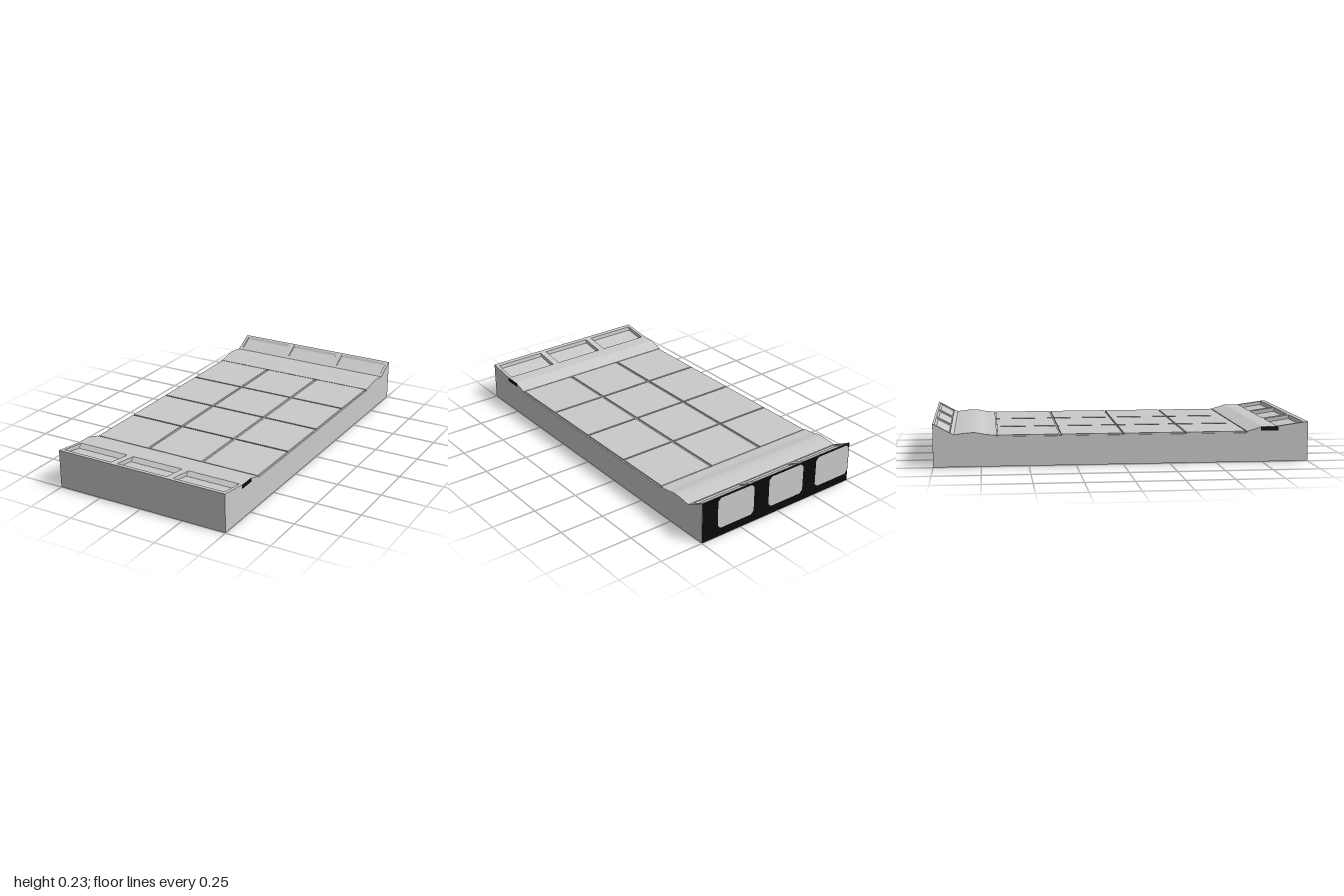
import * as THREE from 'three';

export function createModel() {
  const model = new THREE.Group();
  const grey = new THREE.MeshStandardMaterial({ name: 'lightGrey', color: 0xcacaca });
  const black = new THREE.MeshStandardMaterial({ name: 'black', color: 0x0a0a0a });

  const add = (name, geometry, material) => {
    const mesh = new THREE.Mesh(geometry, material);
    mesh.name = name;
    model.add(mesh);
    return mesh;
  };
  // Side profile of [z, y] points, swept from x0 to x1
  const sweep = (points, x0, x1) => {
    const shape = new THREE.Shape(points.map(([z, y]) => new THREE.Vector2(z, y)));
    return new THREE.ExtrudeGeometry(shape, { depth: x1 - x0, bevelEnabled: false })
      .rotateY(-Math.PI / 2).translate(x1, 0, 0);
  };

  // Recess outlines at the two ends, from the rear to the front
  const rearRecess = [[-0.99, 0.2245], [-0.981, 0.211], [-0.915, 0.175], [-0.909, 0.18]];
  const frontRecess = [[0.832, 0.19], [0.857, 0.171], [0.972, 0.188], [0.975, 0.21]];
  // Smooth swell between the deck and the rear panels
  const swell = new THREE.SplineCurve([[-0.89, 0.17], [-0.84, 0.177], [-0.78, 0.18],
    [-0.725, 0.17], [-0.667, 0.165]].map(([z, y]) => new THREE.Vector2(z, y)))
    .getPoints(16).map((p) => [p.x, p.y]);

  // Main slab, with the deck sunk below its tiles
  const deckY = 0.157, tileY = 0.165;
  add('slab', sweep([
    [-1, 0], [-1, 0.23], ...rearRecess, ...swell,
    [-0.667, deckY], [0.667, deckY], [0.667, tileY],
    [0.75, 0.189], ...frontRecess, [1, 0.213], [1, 0],
  ], -0.5, 0.5), grey);

  // Ribs that divide each end into three sunken panels
  for (const [x0, x1] of [[-0.5, -0.482], [-0.187, -0.149], [0.149, 0.187], [0.482, 0.5]]) {
    add('rearRib', sweep(rearRecess, x0, x1), grey);
    add('frontRib', sweep(frontRecess, x0, x1), grey);
  }

  // Deck tiles: three columns by four rows
  for (let column = -1; column <= 1; column++) {
    for (let row = 0; row < 4; row++) {
      const tile = add('deckTile', new THREE.BoxGeometry(1 / 3 - 0.015, 0.02, 1 / 3 - 0.009), grey);
      tile.position.set(column / 3, tileY - 0.01, (row - 1.5) / 3);
    }
  }

  // Black painted sheet with three chamfered openings
  const openings = [[-0.4, -0.165], [-0.065, 0.17], [0.26, 0.498]];
  const sheet = (low, high, holeLow, holeHigh, mirror) => {
    const shape = new THREE.Shape([[-0.5, low], [0.5, low], [0.5, high], [-0.5, high]]
      .map(([x, y]) => new THREE.Vector2(x, y)));
    const c = 0.018;
    for (const [a, b] of openings) {
      const [l, r] = mirror ? [-b, -a] : [a, b];
      shape.holes.push(new THREE.Path([
        [l + c, holeLow], [r - c, holeLow], [r, holeLow + c], [r, holeHigh - c],
        [r - c, holeHigh], [l + c, holeHigh], [l, holeHigh - c], [l, holeLow + c],
      ].map(([x, y]) => new THREE.Vector2(x, y))));
    }
    return new THREE.ShapeGeometry(shape);
  };
  add('rearPaint', sheet(0, 0.23, 0.045, 0.22, false).rotateY(Math.PI).translate(0, 0, -1.0015), black);
  add('undersidePaint', sheet(-1, -0.675, -0.965, -0.765, true).rotateX(Math.PI / 2).translate(0, -0.0015, 0), black);

  // Small black marks on both flanks
  for (const side of [-1, 1]) {
    add('sideMark', new THREE.BoxGeometry(0.003, 0.02, 0.095), black)
      .position.set(side * 0.5, 0.178, 0.79);
  }
  return model;
}
